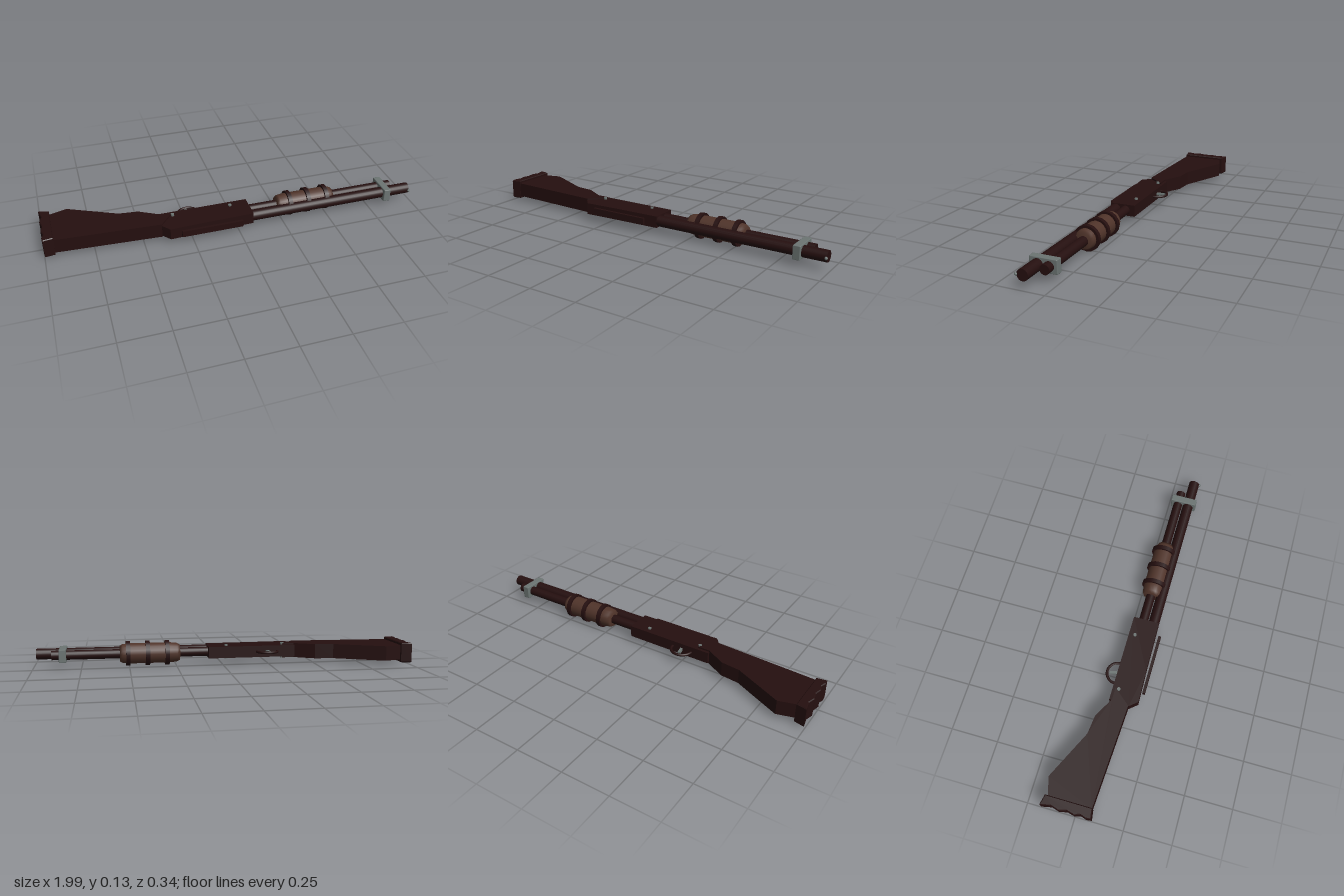
import * as THREE from 'three';
import { RoundedBoxGeometry } from 'three/addons/geometries/RoundedBoxGeometry.js';

const MID = 0.069; // height of the centre plane of the model, which lies on its side

export function createModel() {
  const group = new THREE.Group();
  const material = (name, color) => {
    const m = new THREE.MeshStandardMaterial({ color });
    m.name = name;
    return m;
  };
  const dark = material('darkMetal', 0x250f0f);
  const brown = material('brownGrip', 0x50342a);
  const grey = material('greySteel', 0x6c7573);

  const add = (name, geometry, mat, x = 0, y = 0, z = 0) => {
    const mesh = new THREE.Mesh(geometry, mat);
    mesh.name = name;
    mesh.position.set(x, y, z);
    group.add(mesh);
    return mesh;
  };

  // Outline given as [x, z] points, thickened evenly about the centre plane
  const plate = (name, points, halfWidth, bevel, mat) => {
    const shape = new THREE.Shape(points.map(([x, z]) => new THREE.Vector2(x, -z)));
    const geometry = new THREE.ExtrudeGeometry(shape, {
      depth: 2 * (halfWidth - bevel), bevelEnabled: bevel > 0,
      bevelThickness: bevel, bevelSize: bevel, bevelOffset: -bevel, bevelSegments: 1,
    });
    geometry.translate(0, 0, bevel - halfWidth).rotateX(-Math.PI / 2);
    return add(name, geometry, mat, 0, MID, 0);
  };

  // Round bar along x
  const bar = (name, x0, x1, z, r, mat, sides = 20) =>
    add(name, new THREE.CylinderGeometry(r, r, x1 - x0, sides).rotateZ(-Math.PI / 2),
      mat, (x0 + x1) / 2, MID, z);

  // Stock with a slanted front end that laps over the receiver
  plate('stock', [
    [-0.95, -0.147], [-0.855, -0.174], [-0.6, -0.052], [-0.5, -0.041], [-0.395, 0.018],
    [-0.33, 0.018], [-0.405, 0.107], [-0.95, 0.078],
  ], 0.039, 0, dark);

  // Butt pad with a shallow scalloped back
  plate('buttPad', [
    [-0.945, -0.162], [-0.945, 0.08], [-0.997, 0.088], [-1, 0.06], [-0.99, 0.03], [-1, 0],
    [-0.99, -0.04], [-1, -0.08], [-0.988, -0.12], [-0.999, -0.174],
  ], 0.053, 0.004, dark);

  // Receiver
  plate('receiver', [
    [-0.397, 0.003], [0.077, 0.003], [0.077, 0.141], [-0.2, 0.146], [-0.37, 0.152], [-0.405, 0.11],
  ], 0.031, 0, dark);
  add('topRail', new THREE.BoxGeometry(0.325, 0.034, 0.014), dark, -0.15, MID, 0.164);

  // Cross pins through the receiver
  for (const x of [-0.333, -0.022]) {
    add('crossPin', new THREE.CylinderGeometry(0.009, 0.009, x < -0.2 ? 0.084 : 0.078, 10),
      grey, x, MID, 0.036);
  }

  // Trigger and its half-ring guard
  const guard = new THREE.TorusGeometry(0.056, 0.007, 8, 24, Math.PI).rotateX(-Math.PI / 2);
  add('triggerGuard', guard, dark, -0.243, MID, 0.003);
  const trigger = add('trigger', new THREE.BoxGeometry(0.014, 0.014, 0.045), grey, -0.245, MID, -0.016);
  trigger.rotation.y = 0.2;

  // Barrel, magazine tube, clamp and bead sight
  bar('barrel', 0.07, 0.987, 0.113, 0.029, dark);
  bar('magazineTube', 0.07, 0.905, 0.055, 0.025, dark);
  add('barrelClamp', new RoundedBoxGeometry(0.038, 0.071, 0.142, 1, 0.004), grey, 0.847, MID, 0.085);
  add('beadSight', new THREE.SphereGeometry(0.008, 10, 8), grey, 0.985, MID, 0.145);

  // Sliding grip with rounded ends and three bands
  const profile = [[0, -0.16], [0.043, -0.16], [0.051, -0.145], [0.055, -0.11],
    [0.055, 0.11], [0.051, 0.145], [0.043, 0.16], [0, 0.16]].map(([r, h]) => new THREE.Vector2(r, h));
  add('slideGrip', new THREE.LatheGeometry(profile, 16).rotateZ(-Math.PI / 2), brown, 0.39, MID, 0.057);
  for (const x of [0.298, 0.402, 0.506]) bar('gripBand', x - 0.011, x + 0.011, 0.057, 0.067, dark, 16);

  return group;
}
